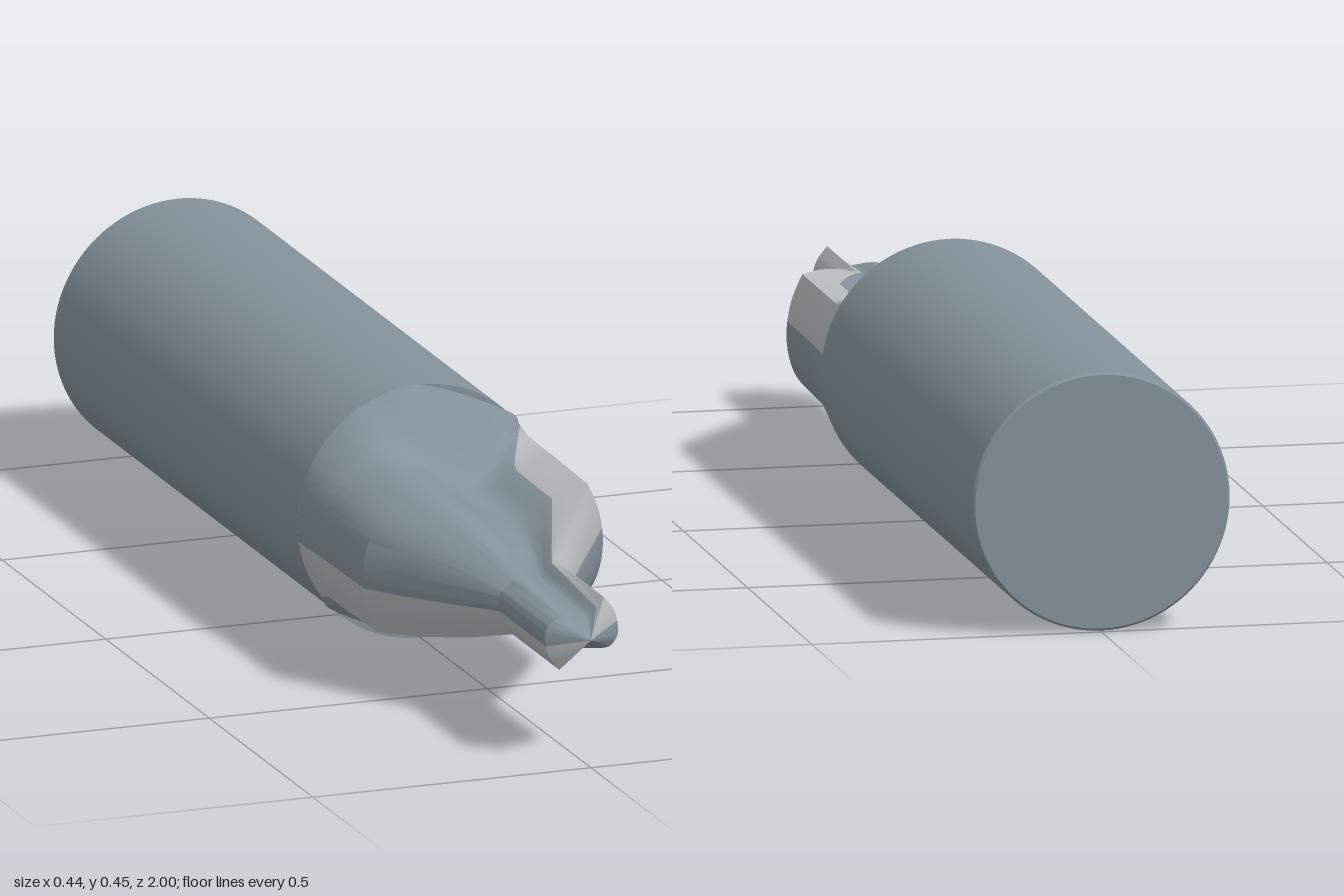
import * as THREE from 'three';
import { toCreasedNormals } from 'three/addons/utils/BufferGeometryUtils.js';

const R = 0.222; // shank radius, also the height of the axis

// Half sections, from one cutting edge clockwise round the lobe and flute to the other edge
const BODY = [[0.19, 0.113], [0.21, 0.062], [0.217, 0], [0.203, -0.06], [0.167, -0.1], [0.105, -0.126],
  [0.05, -0.112], [0, -0.083], [-0.06, -0.064], [-0.125, -0.093], [-0.19, -0.113]];
const PILOT = [[0.04, 0.06], [0.059, 0.034], [0.066, 0], [0.06, -0.018], [0.048, -0.028], [0.03, -0.029],
  [0.014, -0.027], [0, -0.026], [-0.014, -0.03], [-0.027, -0.043], [-0.04, -0.06]];
const NECK = PILOT.map(([x, y], i) => (i > 4 && i < 10 ? [x * 1.1, y * 1.35] : [x, y]));
const CIRCLE = BODY.map(([x, y]) => {
  const k = R / Math.hypot(x, y);
  return [x * k, y * k];
});

const mix = (a, b, tx, ty = tx) => a.map(([x, y], i) => [x + (b[i][0] - x) * tx, y + (b[i][1] - y) * ty]);

// Stations along the axis
const STATIONS = [
  [0.18, CIRCLE],
  [0.22, mix(BODY, CIRCLE, 0.64)],
  [0.26, mix(BODY, CIRCLE, 0.28)],
  [0.285, mix(BODY, CIRCLE, 0.08)],
  [0.31, BODY],
  [0.48, mix(BODY, NECK, 0.01, 0.04)],
  [0.565, mix(BODY, NECK, 0.34, 0.24)],
  [0.65, mix(BODY, NECK, 0.68, 0.57)],
  [0.73, NECK],
  [0.955, PILOT],
  [0.9995, mix(PILOT, PILOT.map(() => [0, 0]), 0.98)],
];

const HALF = 60; // samples per half section

function sectionRing(points) {
  const curve = new THREE.SplineCurve(points.map(([x, y]) => new THREE.Vector2(x, y)));
  const half = [];
  for (let i = 0; i < HALF; i++) half.push(curve.getPoint(i / HALF));
  return half.concat(half.map((p) => p.clone().negate())); // half-turn symmetry
}

function flutedGeometry() {
  const n = HALF * 2;
  const positions = [];
  for (const [z, points] of STATIONS) {
    for (const p of sectionRing(points)) positions.push(p.x, p.y, z);
  }
  const plain = [];
  const ground = [];
  for (let i = 0; i < STATIONS.length - 1; i++) {
    for (let j = 0; j < n; j++) {
      const a = i * n + j;
      const b = i * n + (j + 1) % n;
      const u = (j % HALF) / HALF;
      // the strips beside each cutting edge are ground bright
      const target = u < 0.14 || u >= 0.9 ? ground : plain;
      target.push(a, a + n, b + n, a, b + n, b);
    }
  }
  // close the tip
  const last = (STATIONS.length - 1) * n;
  positions.push(0, 0, 1);
  for (let j = 0; j < n; j++) plain.push(last + j, last + n, last + (j + 1) % n);

  const geometry = new THREE.BufferGeometry();
  geometry.setAttribute('position', new THREE.Float32BufferAttribute(positions, 3));
  geometry.setIndex(plain.concat(ground));
  geometry.addGroup(0, plain.length, 0);
  geometry.addGroup(plain.length, ground.length, 1);
  return toCreasedNormals(geometry, 0.5);
}

export function createModel() {
  const steel = new THREE.MeshStandardMaterial({ color: 0x84919a });
  steel.name = 'steel';
  const groundSteel = new THREE.MeshStandardMaterial({ color: 0xb6b8b9 });
  groundSteel.name = 'groundSteel';

  const model = new THREE.Group();
  model.name = 'centreDrill';

  // Round shank with a tiny chamfer at the back
  const profile = [[0, -1], [R - 0.004, -1], [R, -0.996], [R, 0.18], [0, 0.18]]
    .map(([x, y]) => new THREE.Vector2(x, y));
  const shankGeometry = new THREE.LatheGeometry(profile, 96).rotateX(Math.PI / 2);
  const shank = new THREE.Mesh(toCreasedNormals(shankGeometry, 0.5), steel);
  shank.name = 'shank';
  shank.position.y = R;

  // Two-lobed cutter: flute run-out, countersink, pilot and point
  const cutter = new THREE.Mesh(flutedGeometry(), [steel, groundSteel]);
  cutter.name = 'flutedCutter';
  cutter.position.y = R;

  model.add(shank, cutter);
  return model;
}
